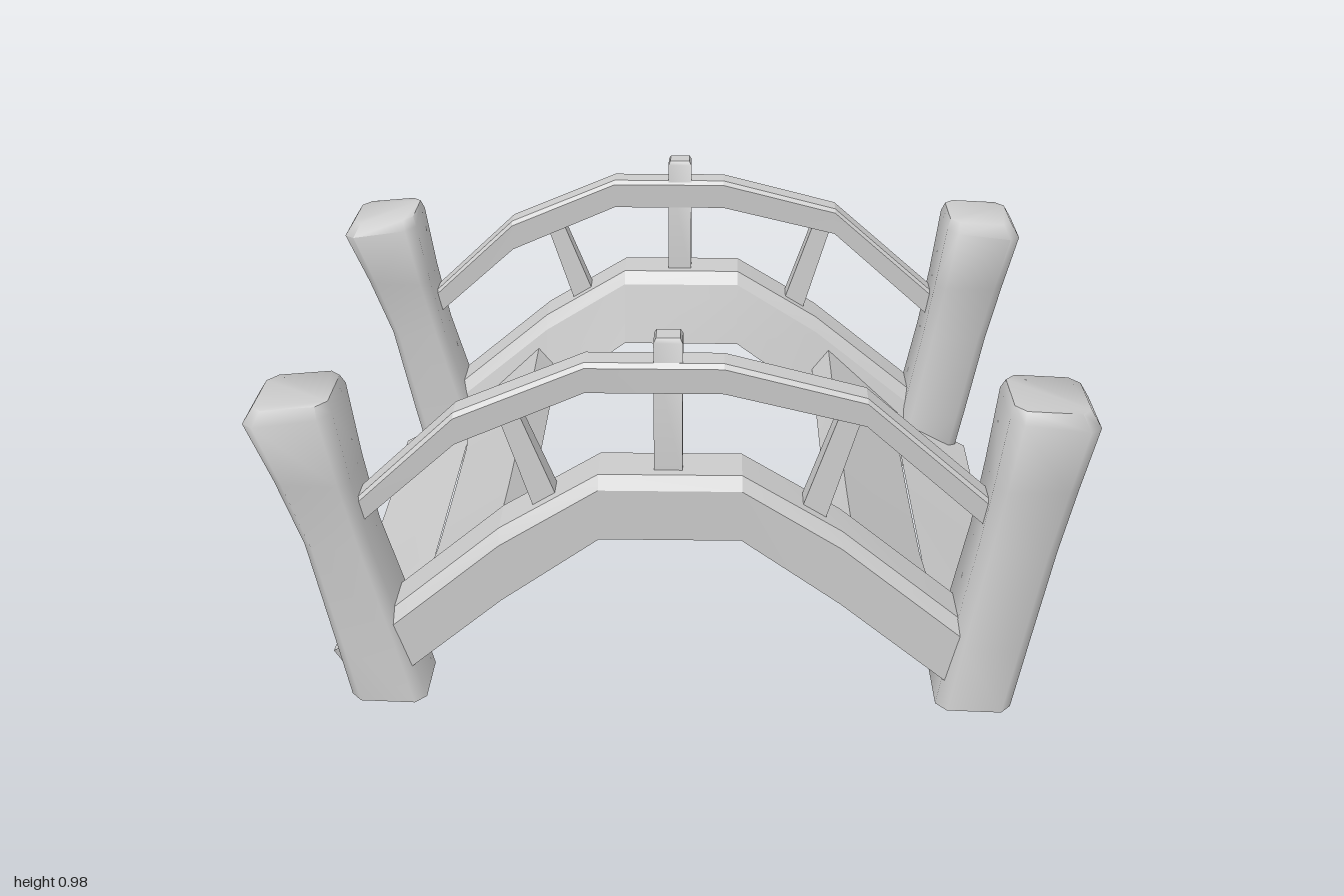
import * as THREE from 'three';
import { toCreasedNormals } from 'three/addons/utils/BufferGeometryUtils.js';

const material = new THREE.MeshStandardMaterial({ color: 0xcccccc });
const thin = new THREE.MeshStandardMaterial({ color: 0xcccccc, side: THREE.DoubleSide });

// Skin a list of rings of [x, y, z] points; closed rings are capped and wound outwards.
function loft(rings, closed = true, crease = 0.3) {
  const tris = [];
  const n = rings[0].length;
  for (let i = 0; i < rings.length - 1; i++) {
    for (let j = 0; j < (closed ? n : n - 1); j++) {
      const k = (j + 1) % n;
      const a = rings[i][j], b = rings[i][k], c = rings[i + 1][k], d = rings[i + 1][j];
      tris.push([a, b, c], [a, c, d]);
    }
  }
  if (closed) {
    const first = rings[0], last = rings[rings.length - 1];
    for (let j = 1; j < n - 1; j++) {
      tris.push([first[0], first[j + 1], first[j]], [last[0], last[j], last[j + 1]]);
    }
    let volume = 0;
    for (const [a, b, c] of tris) {
      volume += new THREE.Vector3(...a).dot(new THREE.Vector3(...b).cross(new THREE.Vector3(...c)));
    }
    if (volume < 0) tris.forEach((t) => t.reverse());
  }
  const geometry = new THREE.BufferGeometry();
  geometry.setAttribute('position', new THREE.Float32BufferAttribute(tris.flat(2), 3));
  return toCreasedNormals(geometry, crease);
}

function add(parent, name, geometry, mat = material) {
  const mesh = new THREE.Mesh(geometry, mat);
  mesh.name = name;
  parent.add(mesh);
}

// Stations are [x, top y, height]; the section is [z, fraction of the height below the top].
const sweep = (stations, section, s) => loft(stations.map(([x, top, h]) =>
  section.map(([z, f]) => [x, top - f * h, s * z])), true, 0.15);

// Corner post: chamfered square sections, [y, x min, x max, z min, z max, tilt of the ring].
function post(levels, s) {
  return loft(levels.map(([y, x0, x1, z0, z1, tilt]) => {
    const cx = (x0 + x1) / 2, cz = (z0 + z1) / 2, rx = (x1 - x0) / 2, rz = (z1 - z0) / 2;
    const q = 0.72;
    return [[1, q], [q, 1], [-q, 1], [-1, q], [-1, -q], [-q, -1], [q, -1], [1, -q]]
      .map(([u, v]) => [cx + u * rx, y + tilt * u, s * (cz + v * rz)]);
  }), true, 1.1);
}

const LEFT_POST = [
  [0.025, 0.655, 0.84, 0.58, 0.80, -0.003],
  [0.20, 0.685, 0.875, 0.575, 0.795, 0],
  [0.45, 0.735, 0.925, 0.585, 0.785, 0],
  [0.62, 0.762, 0.963, 0.57, 0.79, 0],
  [0.79, 0.787, 1.0, 0.55, 0.80, -0.012],
  [0.825, 0.797, 0.975, 0.57, 0.785, -0.004],
];
const RIGHT_POST = [
  [0.035, -0.79, -0.605, 0.58, 0.80, -0.003],
  [0.20, -0.825, -0.65, 0.575, 0.795, 0],
  [0.45, -0.88, -0.722, 0.585, 0.785, 0],
  [0.62, -0.94, -0.757, 0.57, 0.79, 0],
  [0.785, -1.0, -0.787, 0.55, 0.80, 0.015],
  [0.818, -0.975, -0.797, 0.57, 0.785, 0.008],
];

// Arched side beam, its underside falling towards the deck and ending in a small lip.
const BEAM = [
  [-0.71, 0.25, 0.19], [-0.41, 0.50, 0.19], [-0.17, 0.645, 0.165],
  [0.17, 0.645, 0.165], [0.41, 0.50, 0.19], [0.72, 0.25, 0.19],
];
const BEAM_SECTION = [[0.64, 0], [0.76, 0], [0.78, 0.2], [0.775, 1], [0.59, 1.18], [0.57, 1.26], [0.61, 0.2]];

// Handrail
const RAIL = [
  [-0.75, 0.565, 0.07], [-0.51, 0.79, 0.08], [-0.2, 0.92, 0.075],
  [0.125, 0.92, 0.075], [0.46, 0.835, 0.07], [0.76, 0.575, 0.075],
];
const RAIL_SECTION = [[0.67, 0], [0.735, 0], [0.745, 0.15], [0.74, 1], [0.665, 1.1], [0.66, 0.15]];

// Tapered square strut between two points in the plane of the railing.
function strut(bottom, top, w0, w1, s) {
  const dx = top[0] - bottom[0], dy = top[1] - bottom[1], len = Math.hypot(dx, dy);
  const ring = ([x, y], w) => [[-1, -1], [1, -1], [1, 1], [-1, 1]].map(([u, v]) =>
    [x + u * w * dy / len, y - u * w * dx / len, s * 0.7 + v * w]);
  return loft([ring(bottom, w0), ring(top, w1)]);
}

// Thin bowed deck plank with a turned-down lip: profile points are [x, y, sag in x, sag in y].
function plank(profile, halfWidth) {
  const rings = [-1, -0.5, 0, 0.5, 1].map((t) => profile.map(([x, y, bx, by]) => {
    const bow = 1 - t ** 4;
    return [x + bx * bow, y + by * bow, t * halfWidth];
  }));
  return loft(rings, false, 0.5);
}

export function createModel() {
  const model = new THREE.Group();
  model.name = 'footbridge';

  for (const s of [1, -1]) {
    const side = new THREE.Group();
    side.name = s > 0 ? 'frontSide' : 'backSide';
    add(side, 'leftPost', post(LEFT_POST, s));
    add(side, 'rightPost', post(RIGHT_POST, s));
    add(side, 'archBeam', sweep(BEAM, BEAM_SECTION, s));
    add(side, 'handrail', sweep(RAIL, RAIL_SECTION, s));
    add(side, 'rightBaluster', strut([-0.29, 0.53], [-0.385, 0.79], 0.032, 0.024, s));
    add(side, 'leftBaluster', strut([0.335, 0.51], [0.425, 0.79], 0.032, 0.026, s));

    // Centre baluster, rising through the handrail with a small chamfered head
    const square = (y, w) => [[-w, -w], [w, -w], [w, w], [-w, w]].map(([x, z]) => [x - 0.005, y, s * 0.7 + z]);
    add(side, 'centreBaluster', loft([square(0.62, 0.034), square(0.968, 0.034), square(0.98, 0.028)], true, 1.1));
    model.add(side);
  }

  // Two deck planks at each foot of the bridge
  add(model, 'leftLowerPlank', plank(
    [[0.655, 0.195, 0, 0], [0.885, 0.075, 0, -0.022], [0.85, 0.014, 0, -0.014]], 0.63), thin);
  add(model, 'leftUpperPlank', plank(
    [[0.67, 0.20, -0.02, 0], [0.45, 0.405, 0, -0.015], [0.40, 0.35, 0, -0.015]], 0.62), thin);
  add(model, 'rightLowerPlank', plank(
    [[-0.635, 0.195, 0, 0], [-0.86, 0.075, 0, -0.022], [-0.82, 0.014, 0, -0.014]], 0.63), thin);
  add(model, 'rightUpperPlank', plank(
    [[-0.65, 0.20, 0.02, 0], [-0.435, 0.405, 0, -0.015], [-0.38, 0.35, 0, -0.015]], 0.62), thin);

  return model;
}
